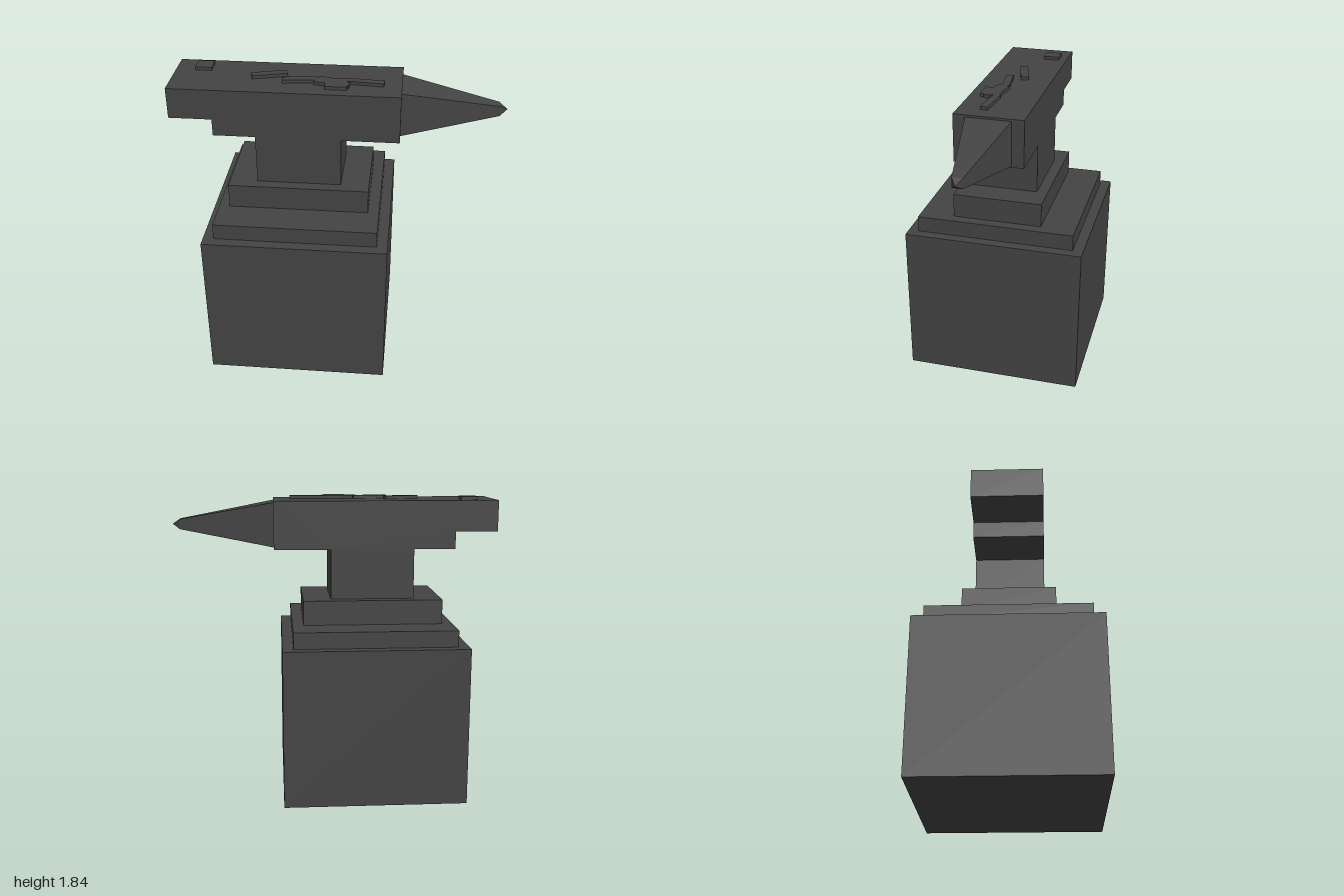
import * as THREE from 'three';

export function createModel() {
  const model = new THREE.Group();
  model.name = 'anvil';
  const iron = new THREE.MeshStandardMaterial({ color: 0x444444 });
  iron.name = 'dark iron';

  const add = (name, geometry, parent = model) => {
    const mesh = new THREE.Mesh(geometry, iron);
    mesh.name = name;
    parent.add(mesh);
    return mesh;
  };

  // Box from its x, y and z ranges
  const block = (name, x0, x1, y0, y1, z0, z1) => {
    const mesh = add(name, new THREE.BoxGeometry(x1 - x0, y1 - y0, z1 - z0));
    mesh.position.set((x0 + x1) / 2, (y0 + y1) / 2, (z0 + z1) / 2);
    return mesh;
  };

  // Stand and stepped foot
  block('standBlock', -0.785, 0.333, 0, 0.97, -0.56, 0.56);
  block('lowerStep', -0.72, 0.268, 0.97, 1.07, -0.495, 0.495);
  block('upperStep', -0.655, 0.2, 1.07, 1.22, -0.28, 0.28);

  // Waist, face and heel as one extruded side profile
  const profile = new THREE.Shape([
    [-0.485, 1.22], [0.028, 1.22], [0.028, 1.525], [0.375, 1.525], [0.375, 1.82],
    [-1, 1.82], [-1, 1.63], [-0.74, 1.63], [-0.74, 1.525], [-0.485, 1.525],
  ].map(([x, y]) => new THREE.Vector2(x, y)));
  const body = new THREE.ExtrudeGeometry(profile, { depth: 0.424, bevelEnabled: false });
  add('body', body.translate(0, 0, -0.212));

  // Square tapering horn with a short pointed tip
  const taper = (name, x0, x1, half0, half1) => {
    const g = new THREE.CylinderGeometry(half1 * Math.SQRT2, half0 * Math.SQRT2, x1 - x0, 4, 1).toNonIndexed();
    g.rotateY(Math.PI / 4).rotateZ(-Math.PI / 2).translate((x0 + x1) / 2, 1.67, 0);
    g.computeVertexNormals();
    add(name, g);
  };
  taper('horn', 0.375, 0.955, 0.137, 0.031);
  taper('hornTip', 0.955, 1, 0.031, 0);

  // Raised pieces on the face: x, z, length, width, turn
  const pieces = [
    ['heelPlate', -0.83, -0.11, 0.1, 0.1, 0],
    ['rearBar', -0.42, -0.015, 0.215, 0.05, 0.26],
    ['middleBar', -0.23, 0.045, 0.21, 0.047, 0.12],
    ['frontBar', 0.16, 0.047, 0.22, 0.045, -0.09],
    ['centrePlate', -0.011, 0.082, 0.13, 0.122, 0],
    ['crossBar', -0.036, 0.08, 0.21, 0.045, -0.18],
    ['smallBar', -0.085, 0.03, 0.08, 0.04, -0.2],
  ];
  for (const [name, x, z, length, width, turn] of pieces) {
    const mesh = add(name, new THREE.BoxGeometry(length, 0.022, width));
    mesh.position.set(x, 1.829, z);
    mesh.rotation.y = turn;
  }

  return model;
}
